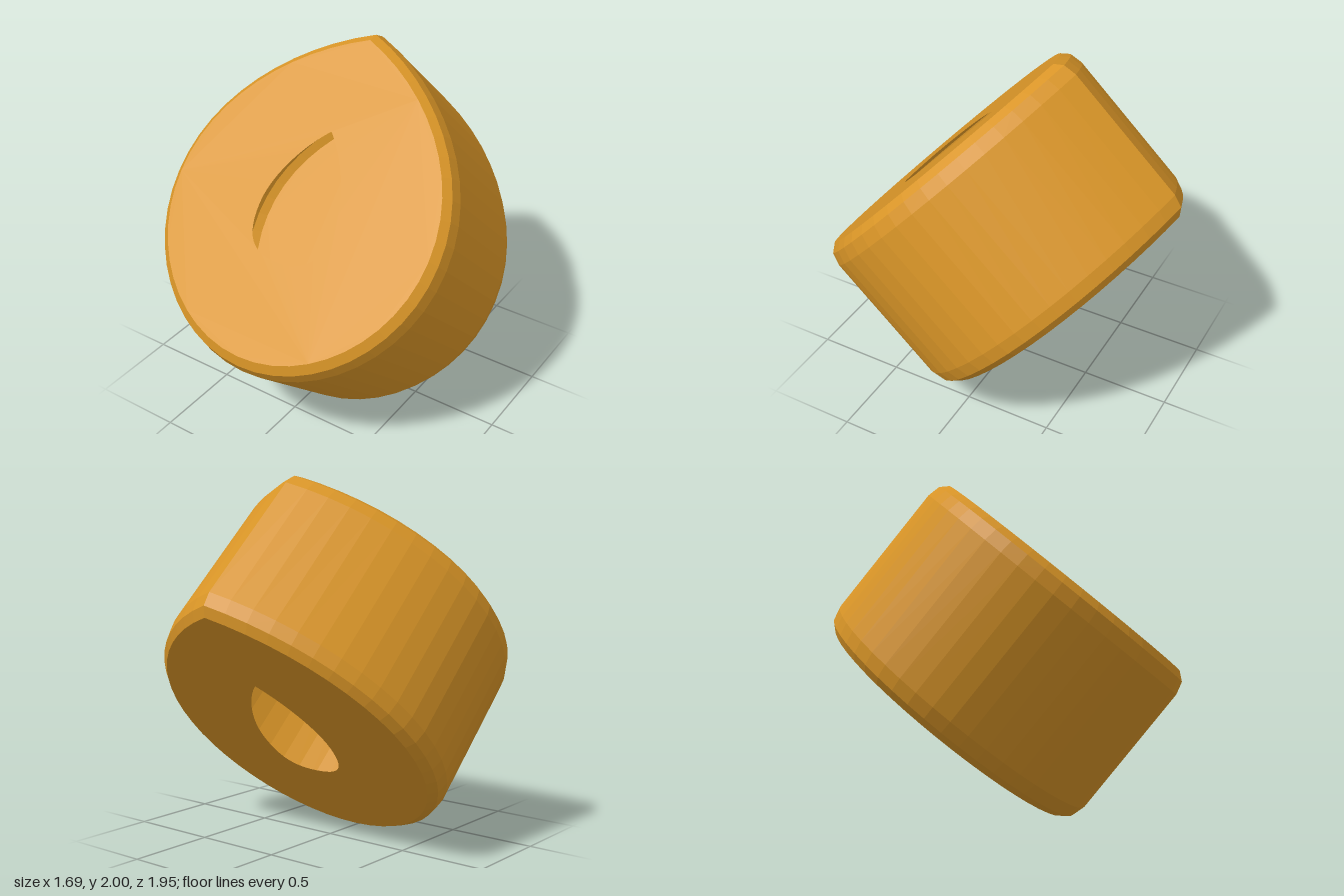
import * as THREE from 'three';

// Symmetric drop: pointed at the top, round at the bottom, drawn anticlockwise
function dropPoints(tip, bottom, half, widest, upper, lower, segments) {
  const v = (x, y) => new THREE.Vector2(x, y);
  const top = new THREE.CubicBezierCurve(
    v(0, tip), v(...upper[0]), v(...upper[1]), v(half, widest)).getPoints(segments);
  const base = new THREE.CubicBezierCurve(
    v(half, widest), v(...lower[0]), v(...lower[1]), v(0, bottom)).getPoints(segments);
  const right = [...top, ...base.slice(1)]; // from the tip down to the bottom
  const left = right.slice(1, -1).map(p => v(-p.x, p.y));
  return [...left, right[right.length - 1], ...right.slice(0, -1).reverse()];
}

// Flat-faced band through rings given as [scale, depth]
function band(outline, rings) {
  const pos = [], idx = [], n = outline.length;
  for (const [s, z] of rings) for (const p of outline) pos.push(p.x * s, p.y * s, z);
  for (let r = 0; r < rings.length - 1; r++) {
    for (let i = 0; i < n; i++) {
      const a = r * n + i, b = r * n + (i + 1) % n;
      idx.push(a, b, b + n, a, b + n, a + n);
    }
  }
  const indexed = new THREE.BufferGeometry();
  indexed.setAttribute('position', new THREE.Float32BufferAttribute(pos, 3));
  indexed.setIndex(idx);
  const geo = indexed.toNonIndexed();
  geo.computeVertexNormals();
  return geo;
}

export function createModel() {
  const amber = new THREE.MeshStandardMaterial({
    name: 'amber', color: 0xd99527, side: THREE.DoubleSide, flatShading: true });

  const outer = dropPoints(0.955, -0.955, 0.845, -0.1,
    [[0.46, 0.776], [0.85, 0.37]], [[0.845, -0.56], [0.46, -0.955]], 12);
  // The bottom point appears once in the list, between the left and right halves
  const leftCount = (outer.length - 2) / 2;
  const order = pts => [pts[leftCount], ...pts.slice(leftCount + 1), ...pts.slice(0, leftCount)];
  const hole = dropPoints(0.365, -0.37, 0.235, -0.11,
    [[0.12, 0.25], [0.235, 0.05]], [[0.235, -0.3], [0.16, -0.37]], 12);
  const rim = order(outer);

  const model = new THREE.Group();
  model.name = 'hollowDrop';
  const body = new THREE.Group();
  body.name = 'tiltedBody';
  body.rotation.x = -0.749;
  body.position.y = 1;
  model.add(body);

  const add = (name, geo) => {
    const mesh = new THREE.Mesh(geo, amber);
    mesh.name = name;
    body.add(mesh);
    return mesh;
  };

  // Side wall with its rounded edges; the inside is empty
  add('sideWall', band(rim, [[1, -0.39], [1, 0.39]]));
  add('frontBevel', band(rim, [[1, 0.39], [0.979, 0.462], [0.93, 0.5]]));
  add('backBevel', band(rim, [[0.93, -0.5], [0.979, -0.462], [1, -0.39]]));

  // Thin end plates, each with a drop-shaped opening
  const plate = new THREE.Shape(rim.map(p => p.clone().multiplyScalar(0.93)));
  plate.holes.push(new THREE.Path(order(hole).reverse()));
  add('frontPlate', new THREE.ShapeGeometry(plate).translate(0, 0, 0.5));
  const back = new THREE.ShapeGeometry(plate);
  back.rotateY(Math.PI).translate(0, 0, -0.5);
  add('backPlate', back);

  return model;
}
